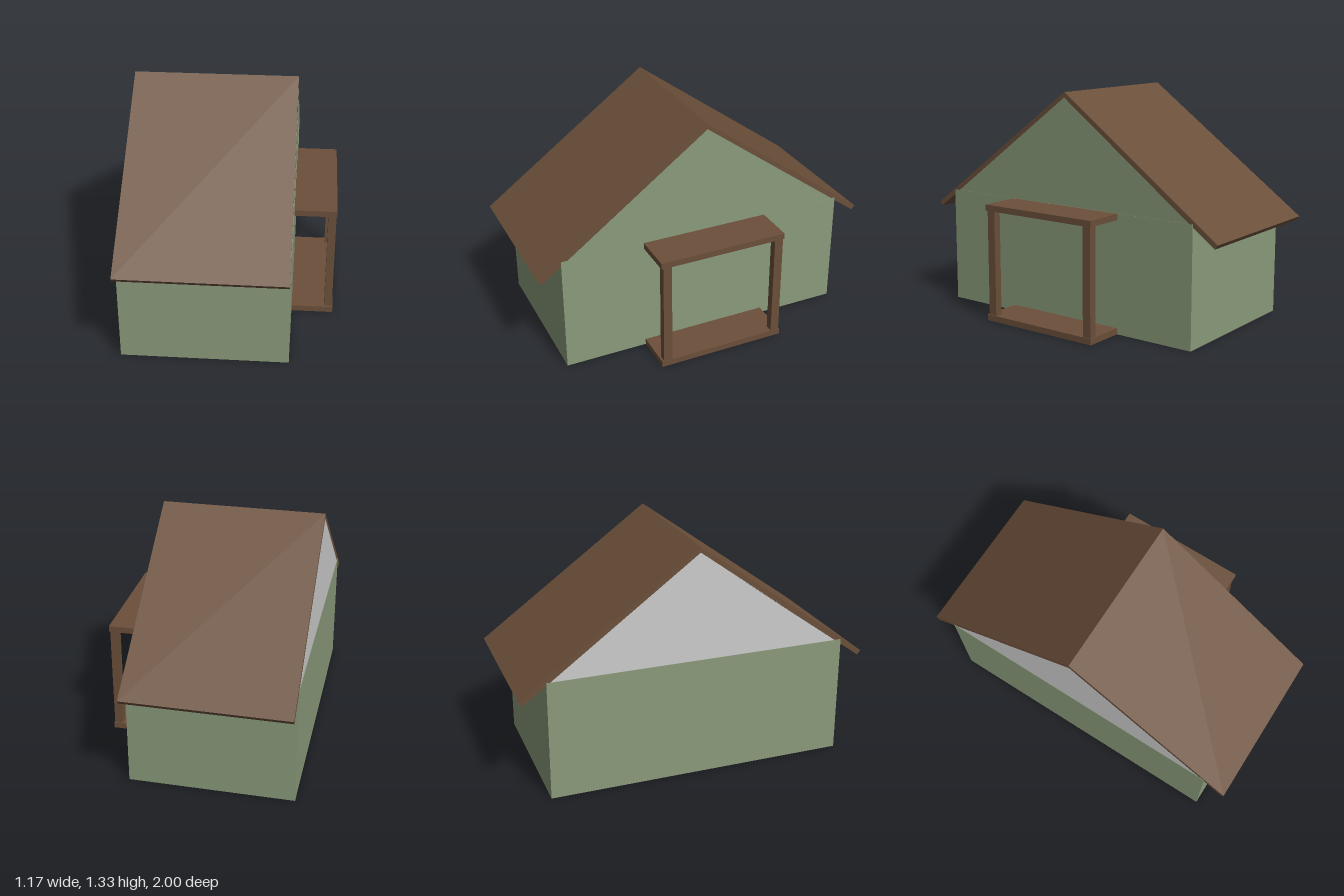
import * as THREE from 'three';

const material = (name, color, side = THREE.FrontSide) =>
  Object.assign(new THREE.MeshStandardMaterial({ color, side }), { name });

export function createModel() {
  const house = new THREE.Group();
  house.name = 'house';
  const sage = material('sage', 0x8a9a7b, THREE.DoubleSide);
  const brown = material('brown', 0x6b4f3a);
  const grey = material('grey', 0xcccccc, THREE.DoubleSide);

  const add = (name, geometry, mat, parent = house) => {
    const mesh = new THREE.Mesh(geometry, mat);
    mesh.name = name;
    parent.add(mesh);
    return mesh;
  };
  // Box given by its limits on each axis
  const box = (name, [x0, x1], [y0, y1], [z0, z1], mat, parent) =>
    add(name, new THREE.BoxGeometry(x1 - x0, y1 - y0, z1 - z0), mat, parent)
      .position.set((x0 + x1) / 2, (y0 + y1) / 2, (z0 + z1) / 2);

  // Walls
  box('walls', [-0.583, 0.344], [0, 0.685], [-0.85, 0.865], sage);

  // Gable ends: triangles under the roof
  const triangle = new THREE.Shape([
    new THREE.Vector2(-0.835, 0.68), new THREE.Vector2(0.835, 0.68), new THREE.Vector2(0, 1.295),
  ]);
  for (const [name, side, x, mat] of [['rightGable', 1, 0.342, sage], ['leftGable', -1, -0.581, grey]]) {
    const gable = add(name, new THREE.ShapeGeometry(triangle), mat);
    gable.rotation.y = side * Math.PI / 2;
    gable.position.x = x;
  }

  // Roof: two sloping slabs meeting at the ridge, drawn as one profile
  const half = [[1, 0.596], [0.982, 0.572]];
  const profile = new THREE.Shape([
    [0, 1.325], ...half, [0, 1.288], ...half.map(([z, y]) => [-z, y]).reverse(),
  ].map(([z, y]) => new THREE.Vector2(z, y)));
  const roof = new THREE.ExtrudeGeometry(profile, { depth: 0.922, bevelEnabled: false });
  roof.rotateY(Math.PI / 2).translate(-0.581, 0, 0);
  add('roof', roof, brown);

  // Porch: floor, canopy and two posts
  const porch = new THREE.Group();
  porch.name = 'porch';
  house.add(porch);
  box('porchFloor', [0.34, 0.583], [0, 0.035], [-0.369, 0.385], brown, porch);
  box('porchCanopy', [0.34, 0.583], [0.649, 0.684], [-0.369, 0.385], brown, porch);
  for (const z of [-0.363, 0.322]) {
    box('porchPost', [0.534, 0.579], [0.035, 0.649], [z, z + 0.051], brown, porch);
  }
  return house;
}
